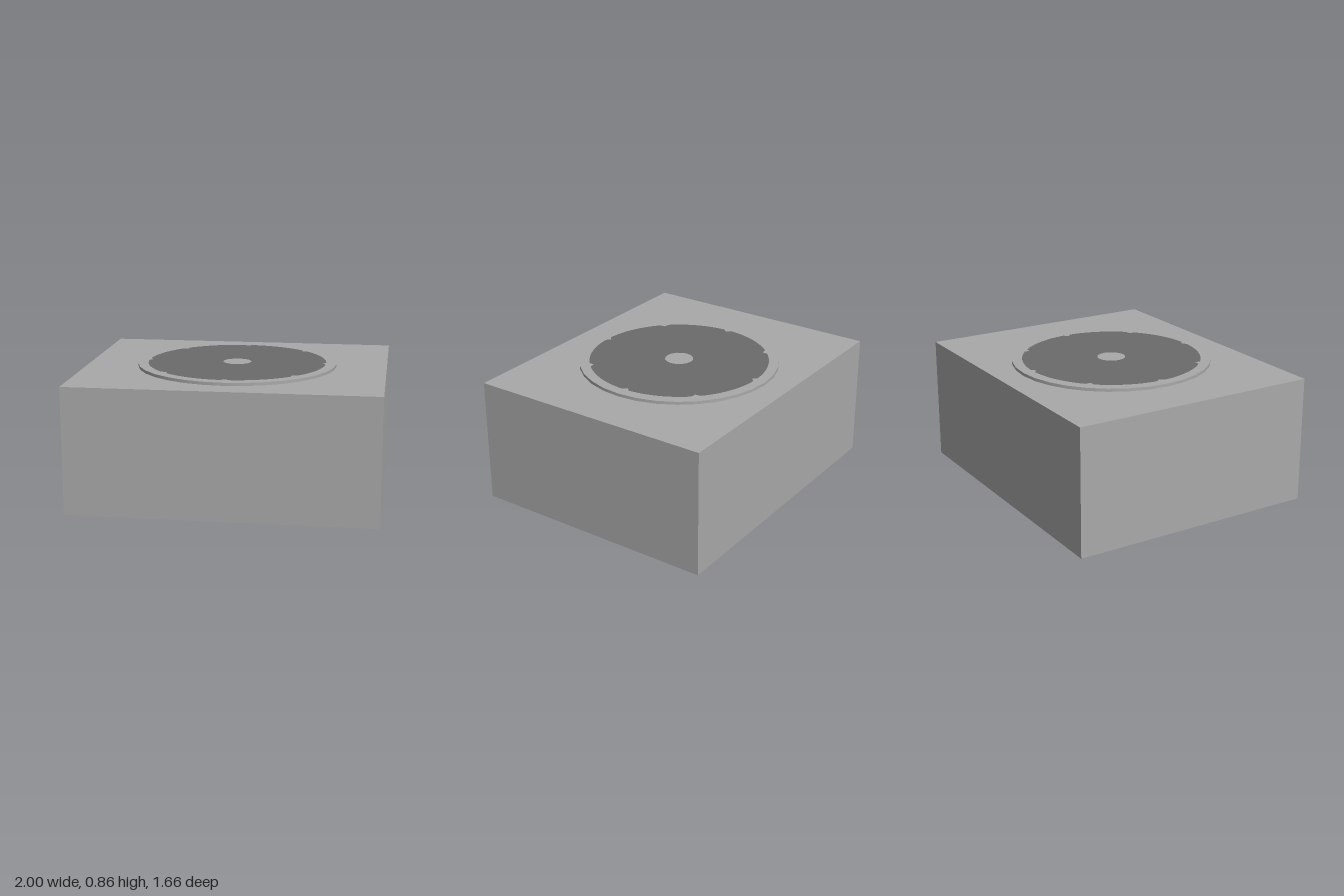
import * as THREE from 'three';

const W = 2, H = 0.835, D = 1.665;
const DISC_R = 0.665, DISC_H = 0.02;

export function createModel() {
  const casingGrey = new THREE.MeshStandardMaterial({ color: 0xa9a9a9, side: THREE.DoubleSide });
  casingGrey.name = 'casingGrey';
  const ventGrey = new THREE.MeshStandardMaterial({ color: 0x6b6b6b });
  ventGrey.name = 'ventGrey';

  const model = new THREE.Group();
  model.name = 'ventUnit';
  const add = (name, geometry, material, y) => {
    const mesh = new THREE.Mesh(geometry, material);
    mesh.name = name;
    mesh.position.y = y;
    model.add(mesh);
    return mesh;
  };

  // Casing: thin-walled box without its bottom face (the fourth face of a box)
  const casing = new THREE.BoxGeometry(W, H, D);
  const index = Array.from(casing.index.array);
  index.splice(18, 6);
  casing.setIndex(index);
  casing.clearGroups();
  add('casing', casing, casingGrey, H / 2);

  // Raised round fan cover
  add('fanCover', new THREE.CylinderGeometry(DISC_R, DISC_R, DISC_H, 32), casingGrey, H + DISC_H / 2);

  // Dark vent ring: eight lobes with shallow notches between them, open around the hub
  const rim = [];
  for (let i = 0; i < 128; i++) {
    const a = (i / 128) * Math.PI * 2;
    const r = i % 16 === 0 ? 0.572 : 0.597;
    rim.push(new THREE.Vector2(Math.cos(a) * r, Math.sin(a) * r));
  }
  const ring = new THREE.Shape(rim);
  ring.holes.push(new THREE.Path().absarc(0, 0, 0.095, 0, Math.PI * 2, true));
  const vent = add('ventRing', new THREE.ShapeGeometry(ring, 8), ventGrey, H + DISC_H + 0.002);
  vent.rotation.x = -Math.PI / 2;

  return model;
}
